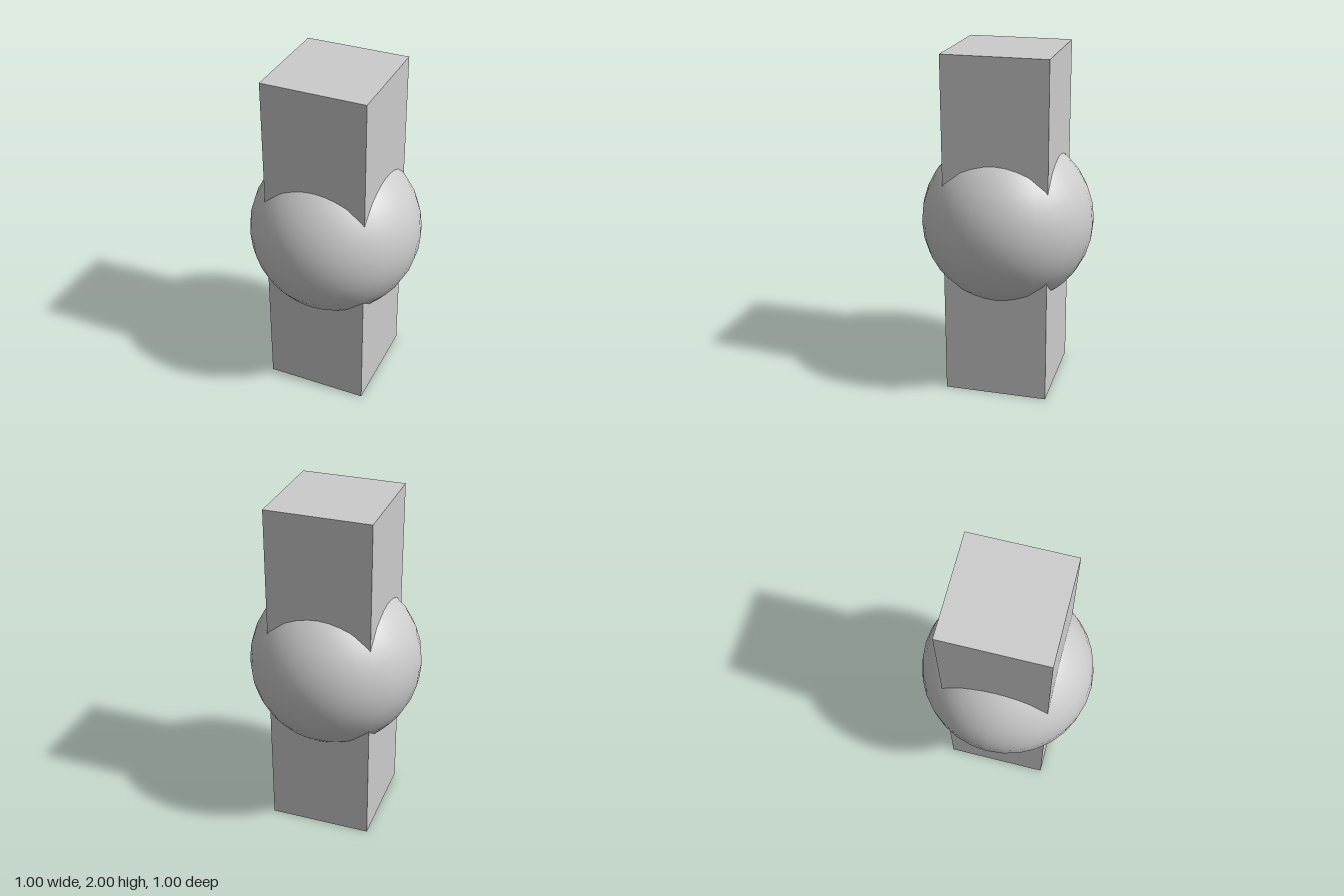
import * as THREE from 'three';

export function createModel() {
  const group = new THREE.Group();
  const material = new THREE.MeshStandardMaterial({ color: 0xcccccc });

  const addPart = (name, geometry) => {
    const mesh = new THREE.Mesh(geometry, material);
    mesh.name = name;
    mesh.position.y = 1;
    group.add(mesh);
  };

  // Square post running the full height
  addPart('post', new THREE.BoxGeometry(0.6, 2, 0.6));

  // Smooth ball around the middle of the post
  addPart('ball', new THREE.SphereGeometry(0.5, 32, 16));

  return group;
}
